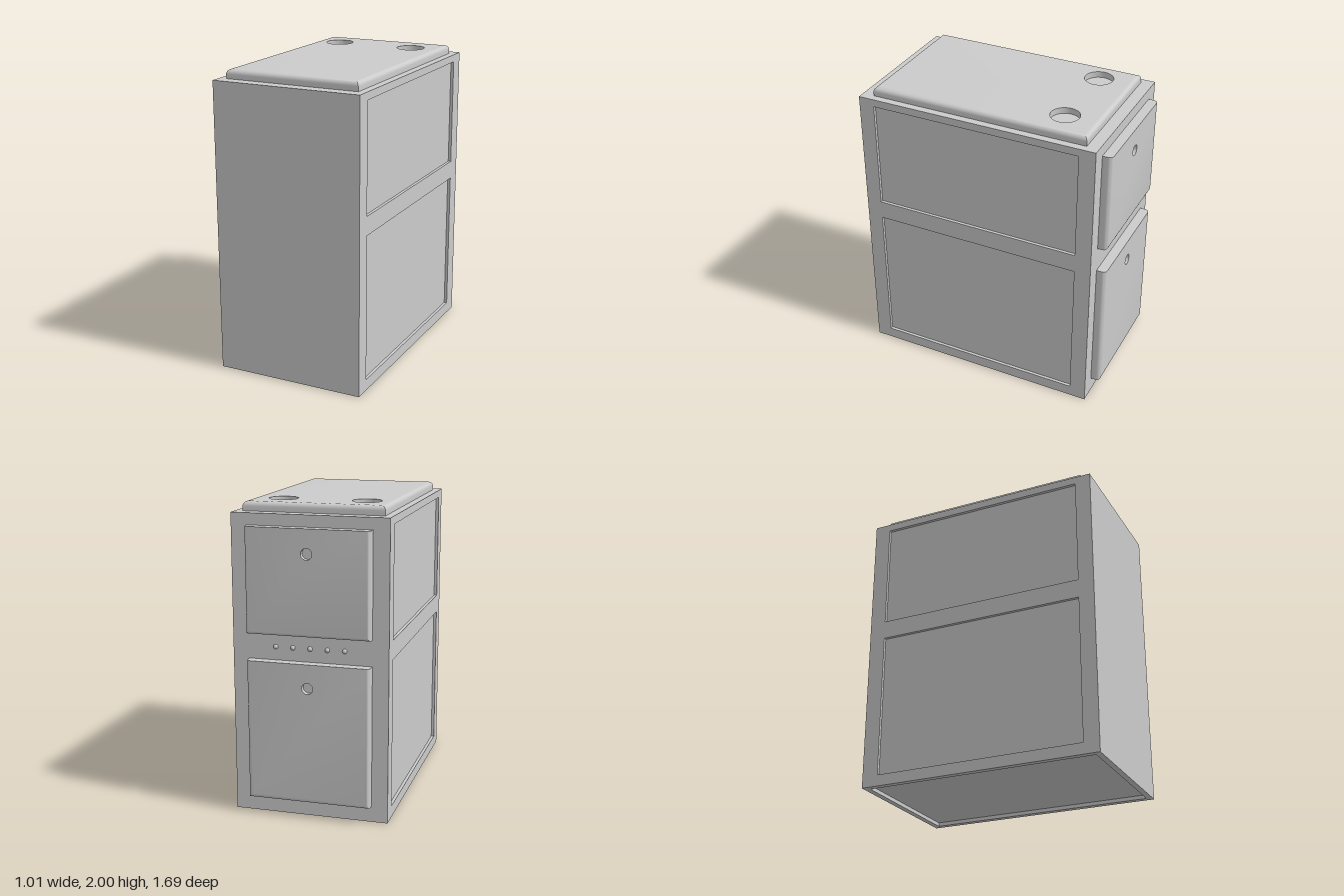
import * as THREE from 'three';
import { mergeGeometries, toCreasedNormals } from 'three/addons/utils/BufferGeometryUtils.js';

const grey = new THREE.MeshStandardMaterial({ color: 0xcccccc });
const greyDouble = new THREE.MeshStandardMaterial({ color: 0xcccccc, side: THREE.DoubleSide });

// Corners of a rectangle, counter-clockwise
const rect = (x0, y0, x1, y1) => [[x0, y0], [x1, y0], [x1, y1], [x0, y1]];
const rectShape = (...b) => new THREE.Shape(rect(...b).map(([x, y]) => new THREE.Vector2(x, y)));

// Flat frame: a rectangle with rectangular openings, extruded along +z
function frame(outer, openings, depth) {
  const shape = rectShape(...outer);
  openings.forEach((o) => shape.holes.push(rectShape(...o)));
  return new THREE.ExtrudeGeometry(shape, { depth, bevelEnabled: false });
}

// Slab lying on z = 0 with rounded outer edges and round blind holes [x, y, radius, depth]
function slab(name, [x0, y0, x1, y1], t, r, roundTop, holes) {
  const group = new THREE.Group();
  group.name = name;
  const steps = 6, loops = [];
  const loop = (inset, z) => loops.push(
    rect(x0 + inset, y0 + inset, x1 - inset, y1 - (roundTop ? inset : 0)).map(([x, y]) => [x, y, z]));
  loop(0, 0);
  for (let i = 0; i <= steps; i++) {
    const a = (i / steps) * Math.PI / 2;
    loop(r * (1 - Math.cos(a)), t - r + r * Math.sin(a));
  }
  const pos = [];
  for (let i = 0; i < loops.length - 1; i++) {
    for (let j = 0; j < 4; j++) {
      const k = (j + 1) % 4;
      const a = loops[i][j], b = loops[i][k], c = loops[i + 1][k], d = loops[i + 1][j];
      pos.push(...a, ...b, ...c, ...a, ...c, ...d);
    }
  }
  const rim = new THREE.BufferGeometry();
  rim.setAttribute('position', new THREE.Float32BufferAttribute(pos, 3));

  // Face with the hole openings cut out
  const face = rectShape(x0 + r, y0 + r, x1 - r, y1 - (roundTop ? r : 0));
  holes.forEach(([x, y, radius]) => {
    const path = new THREE.Path();
    path.absarc(x, y, radius, 0, Math.PI * 2);
    face.holes.push(path);
  });
  const cap = new THREE.ShapeGeometry(face, 20).toNonIndexed().translate(0, 0, t);
  cap.deleteAttribute('uv');
  cap.deleteAttribute('normal');
  const shell = new THREE.Mesh(toCreasedNormals(mergeGeometries([rim, cap]), 0.6), grey);
  shell.name = name + 'Shell';
  group.add(shell);

  // Wall and floor of each hole
  holes.forEach(([x, y, radius, depth]) => {
    const profile = [[0, -depth], [radius, -depth], [radius, 0]].map((p) => new THREE.Vector2(...p));
    const cup = new THREE.Mesh(
      toCreasedNormals(new THREE.LatheGeometry(profile, 40).rotateX(Math.PI / 2), 0.6), greyDouble);
    cup.position.set(x, y, t);
    cup.name = name + 'Hole';
    group.add(cup);
  });
  return group;
}

export function createModel() {
  const model = new THREE.Group();
  model.name = 'cabinet';
  const add = (name, geometry) => {
    const mesh = new THREE.Mesh(geometry, grey);
    mesh.name = name;
    model.add(mesh);
    return mesh;
  };

  const W = 0.505, H = 1.94, back = -0.78, front = 0.845;
  const recess = 0.02, foot = 0.025, core = W - recess;

  // Body core, raised to leave a hollow underneath
  add('body', new THREE.BoxGeometry(core * 2, H - foot, front - back)
    .translate(0, (H + foot) / 2, (front + back) / 2));

  // Rim around the hollow base
  add('baseRim', frame([-core, -front, core, -back],
    [[-W + 0.04, -front + 0.04, W - 0.04, -back - 0.04]], foot).rotateX(-Math.PI / 2));

  // Side frames around two sunken panels
  const panels = [[-0.74, 0.075, 0.67, 1.045], [-0.74, 1.17, 0.67, 1.89]];
  const side = frame([-front, 0, -back, H], panels, recess).rotateY(Math.PI / 2);
  add('leftSideFrame', side).position.x = core;
  add('rightSideFrame', side).position.x = -W;

  // Lid with two round wells
  const lid = slab('lid', [-0.455, -0.765, 0.455, 0.7], 0.06, 0.03, true,
    [[-0.285, 0.475, 0.094, 0.04], [0.26, 0.475, 0.094, 0.04]]);
  lid.rotation.x = -Math.PI / 2;
  lid.position.y = H;
  model.add(lid);

  // Back doors, each with a finger hole
  [['upperDoor', 1.19, 1.865], ['lowerDoor', 0.105, 1.02]].forEach(([name, y0, y1]) => {
    const door = slab(name, [-0.4, y0, 0.4, y1], 0.065, 0.028, false, [[0, y1 - 0.155, 0.036, 0.035]]);
    door.rotation.y = Math.PI;
    door.position.z = back;
    model.add(door);
  });

  // Row of small buttons between the doors
  for (let i = -2; i <= 2; i++) {
    add('button', new THREE.SphereGeometry(0.016, 16, 12)).position.set(i * 0.112, 1.105, back + 0.002);
  }
  return model;
}
